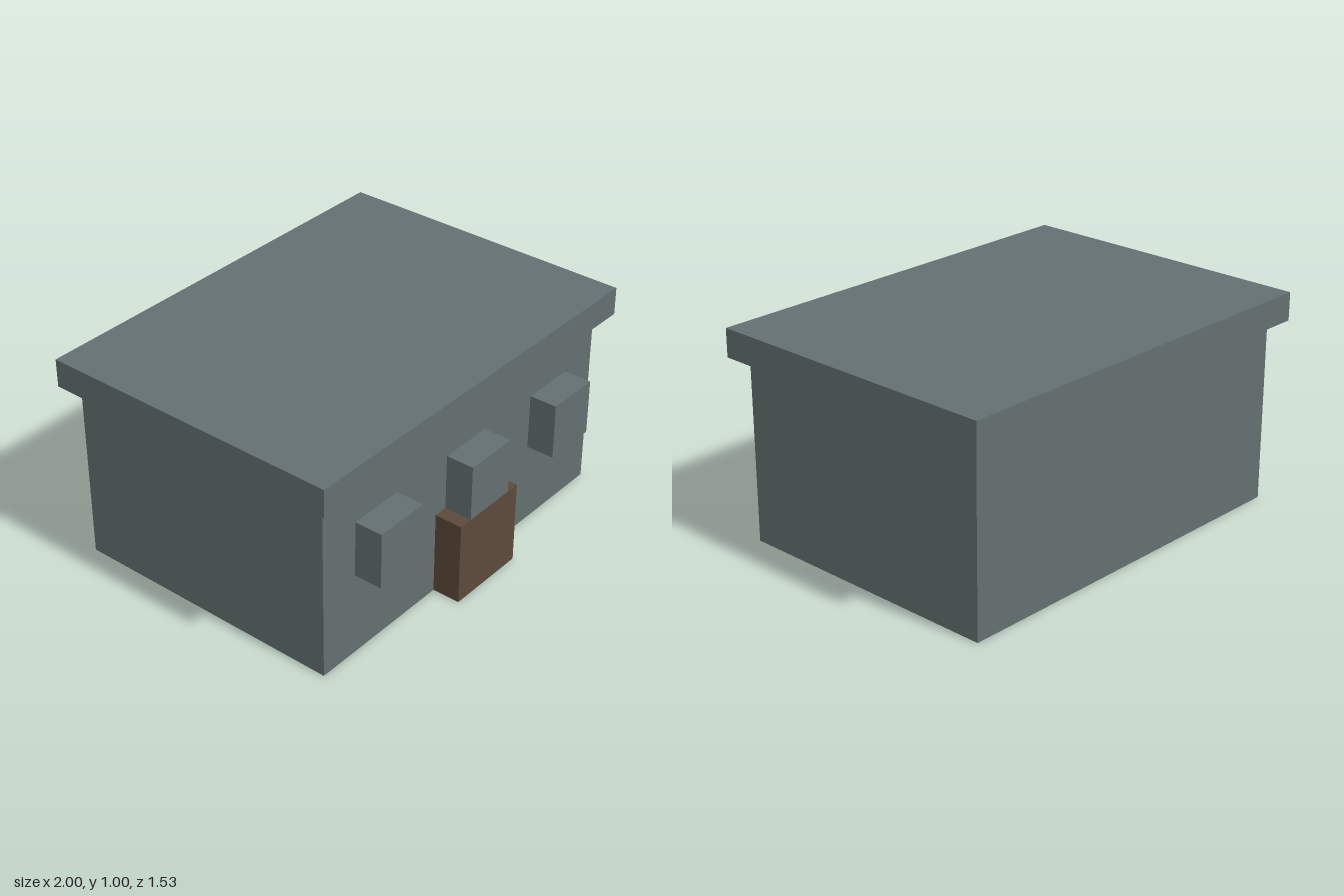
import * as THREE from 'three';

const wallGrey = new THREE.MeshStandardMaterial({ color: 0x636f70 });
wallGrey.name = 'slateGrey';
const doorBrown = new THREE.MeshStandardMaterial({ color: 0x5c4a3a });
doorBrown.name = 'doorBrown';

// Box given by its minimum and maximum corners
function block(name, material, [x0, y0, z0], [x1, y1, z1]) {
  const mesh = new THREE.Mesh(new THREE.BoxGeometry(x1 - x0, y1 - y0, z1 - z0), material);
  mesh.position.set((x0 + x1) / 2, (y0 + y1) / 2, (z0 + z1) / 2);
  mesh.name = name;
  return mesh;
}

export function createModel() {
  const house = new THREE.Group();
  house.name = 'house';
  const wallFront = 0.633, boxFront = 0.767;

  // Walls and overhanging flat roof
  house.add(block('walls', wallGrey, [-0.933, 0, -0.7], [0.933, 0.867, wallFront]));
  house.add(block('roof', wallGrey, [-1, 0.867, -0.767], [1, 1, 0.7]));

  // Projecting door block
  house.add(block('door', doorBrown, [-0.2, 0, wallFront], [0.2, 0.4, boxFront]));

  // Three projecting window blocks, the middle one above the door
  const windows = { rightWindow: -0.6, middleWindow: 0, leftWindow: 0.6 };
  for (const [name, x] of Object.entries(windows)) {
    house.add(block(name, wallGrey, [x - 0.133, 0.4, wallFront], [x + 0.133, 0.667, boxFront]));
  }
  return house;
}
